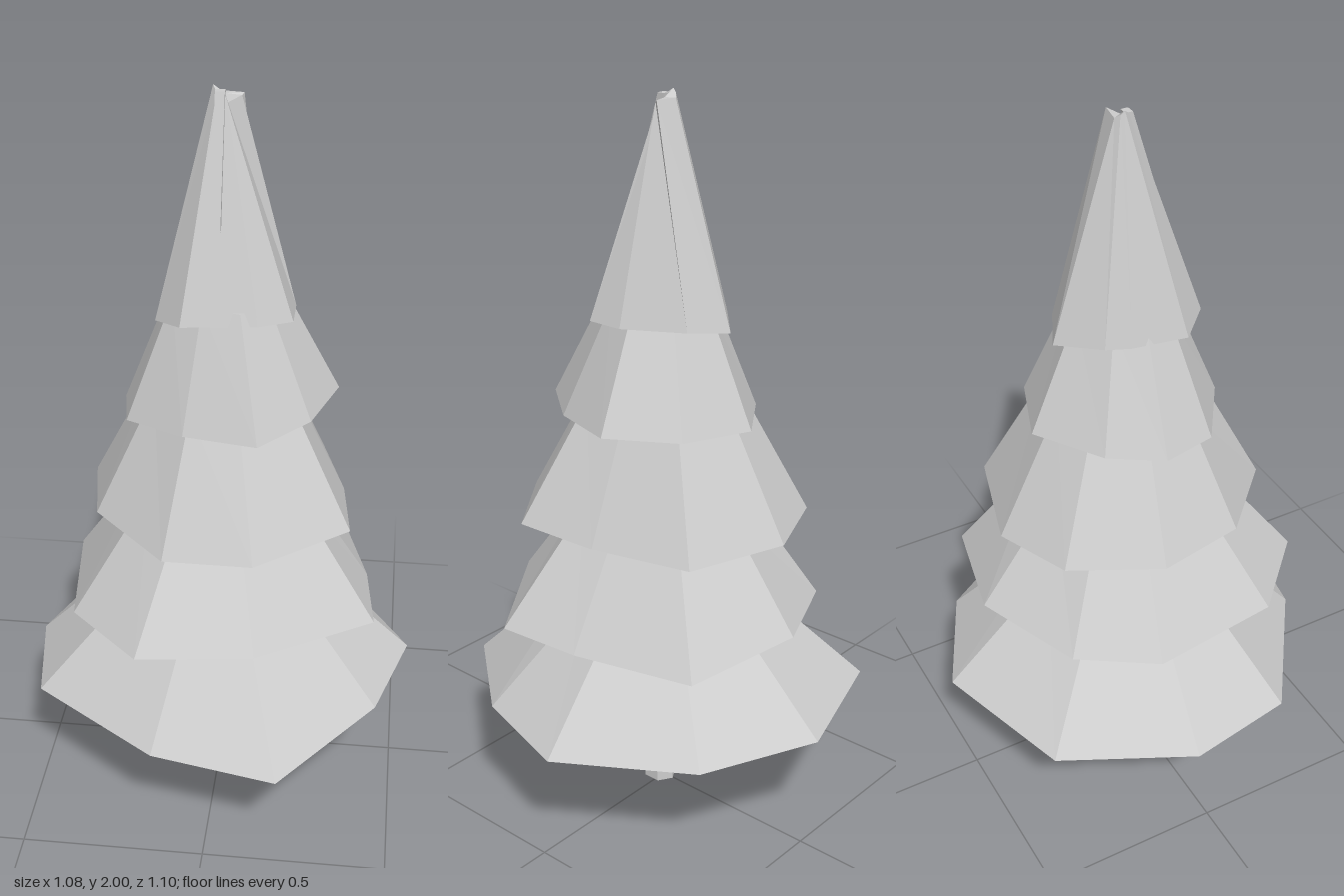
import * as THREE from 'three';

const grey = new THREE.MeshStandardMaterial({ color: 0xcccccc, flatShading: true });
grey.name = 'plain grey';

const centre = (ring) => {
  const c = [0, 0, 0];
  for (const p of ring) p.forEach((v, i) => { c[i] += v / ring.length; });
  return c;
};

// Closed solid between two rings that run clockwise seen from above
function loft(name, lower, upper) {
  const pos = [];
  const tri = (...points) => points.forEach((p) => pos.push(...p));
  const low = centre(lower);
  const high = centre(upper);
  lower.forEach((a, i) => {
    const j = (i + 1) % lower.length;
    const b = lower[j];
    tri(a, upper[i], upper[j]);
    tri(a, upper[j], b);
    tri(low, a, b);
    tri(high, upper[j], upper[i]);
  });
  const geometry = new THREE.BufferGeometry();
  geometry.setAttribute('position', new THREE.Float32BufferAttribute(pos, 3));
  geometry.computeVertexNormals();
  const mesh = new THREE.Mesh(geometry, grey);
  mesh.name = name;
  return mesh;
}

// Uneven rims of the skirts, from the back round by +x to the front
const bottomRim = [
  [0.01, 0.35, -0.55], [0.32, 0.34, -0.40], [0.535, 0.34, -0.06], [0.45, 0.345, 0.24], [0.20, 0.315, 0.545],
  [-0.14, 0.325, 0.485], [-0.49, 0.325, 0.24], [-0.54, 0.32, -0.06], [-0.38, 0.34, -0.42],
];
const lowerRim = [
  [-0.01, 0.62, -0.443], [0.316, 0.59, -0.367], [0.407, 0.595, -0.04], [0.433, 0.60, 0.195], [0.127, 0.615, 0.411],
  [-0.182, 0.61, 0.443], [-0.38, 0.605, 0.248], [-0.424, 0.60, -0.114], [-0.293, 0.60, -0.315],
];
const middleRim = [
  [-0.03, 0.865, -0.388], [0.255, 0.87, -0.306], [0.331, 0.875, -0.04], [0.357, 0.885, 0.192], [0.118, 0.875, 0.376],
  [-0.118, 0.865, 0.359], [-0.32, 0.88, 0.166], [-0.363, 0.875, -0.073], [-0.243, 0.875, -0.306],
];
const upperRim = [
  [-0.02, 1.16, -0.28], [0.17, 1.165, -0.21], [0.305, 1.18, -0.055], [0.243, 1.175, 0.137], [0.118, 1.175, 0.289],
  [-0.077, 1.165, 0.236], [-0.238, 1.145, 0.128], [-0.264, 1.14, -0.017], [-0.194, 1.155, -0.16],
];
const topRim = [
  [-0.016, 1.41, -0.21], [0.092, 1.425, -0.157], [0.188, 1.43, -0.015], [0.188, 1.43, 0.087], [0.103, 1.435, 0.14],
  [-0.089, 1.44, 0.175], [-0.162, 1.42, 0.096], [-0.144, 1.425, -0.055], [-0.118, 1.425, -0.117],
];
// Ragged, pinched end of the top skirt
const crown = [
  [-0.01, 1.98, -0.03], [0.05, 1.98, -0.02], [0.045, 1.975, -0.012], [0.012, 1.96, 0], [0.01, 1.97, 0.01],
  [-0.01, 1.98, 0.01], [-0.015, 1.985, 0.008], [-0.025, 2, -0.01], [-0.022, 1.99, -0.02],
];

export function createModel() {
  const tree = new THREE.Group();
  tree.name = 'pineTree';

  // Trunk: six sides, tapering up into the lowest skirt
  const hexagon = (radius, y) => Array.from({ length: 6 }, (_, i) => {
    const a = (i / 6) * Math.PI * 2;
    return [0.003 + radius * 0.95 * Math.sin(a), y, 0.012 - radius * Math.cos(a)];
  });
  tree.add(loft('trunk', hexagon(0.048, 0), hexagon(0.036, 0.5)));

  // Four overlapping skirts: rim, top height, share of the width left at the top
  const skirts = [
    ['bottomSkirt', bottomRim, 0.64, 0.43],
    ['lowerSkirt', lowerRim, 0.92, 0.49],
    ['middleSkirt', middleRim, 1.21, 0.53],
    ['upperSkirt', upperRim, 1.47, 0.51],
  ];
  for (const [name, rim, y, share] of skirts) {
    tree.add(loft(name, rim, rim.map(([x, , z]) => [x * share, y, z * share])));
  }
  tree.add(loft('topSkirt', topRim, crown));

  // Narrow ridge lying on the front of the top skirt
  const strip = (y, back, front) =>
    [[-0.018, y, back], [0.006, y, back], [0.006, y, front], [-0.018, y, front]];
  tree.add(loft('ridge', strip(1.67, 0.04, 0.112), strip(1.99, -0.005, 0.015)));

  return tree;
}
